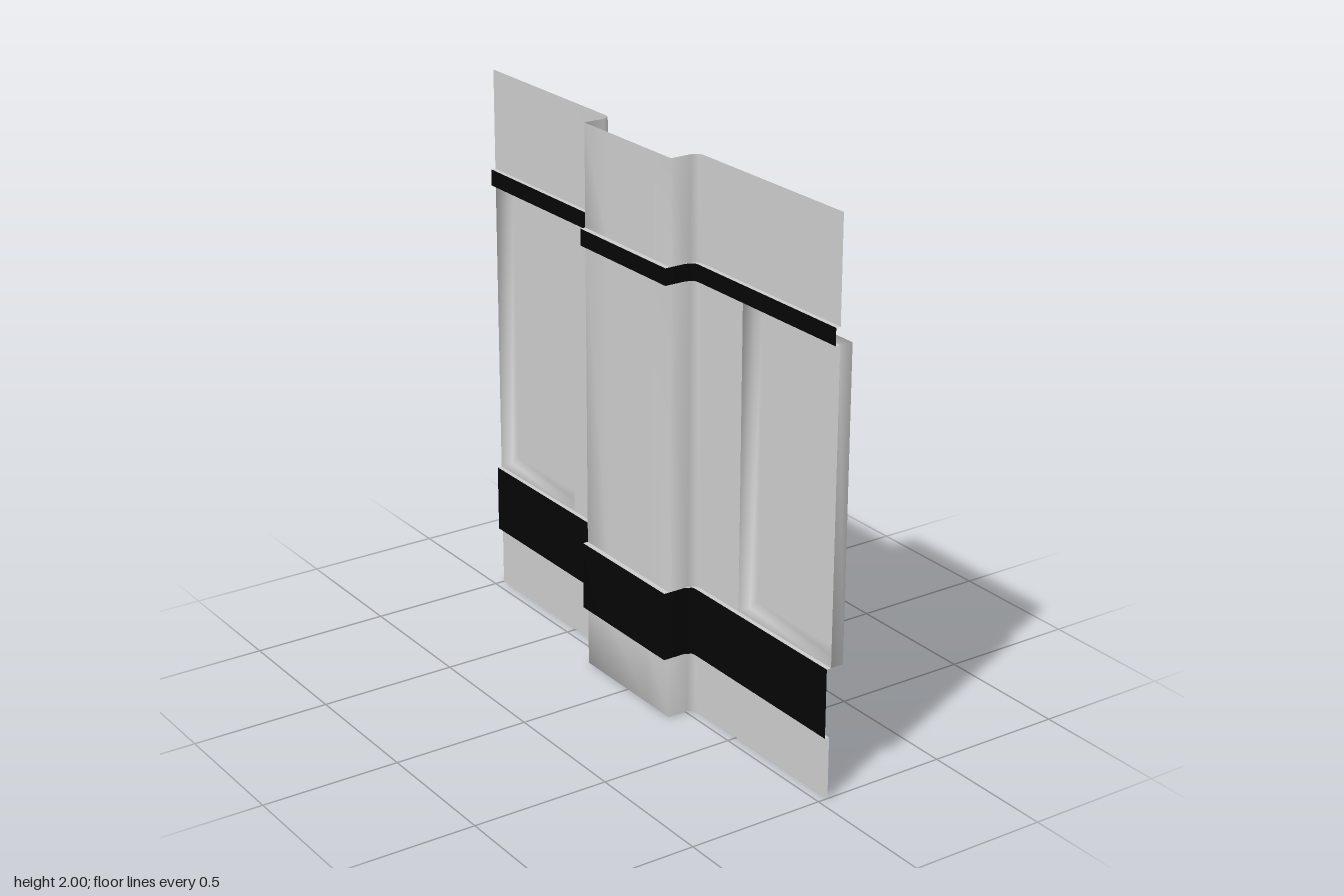
import * as THREE from 'three';
import { mergeVertices } from 'three/addons/utils/BufferGeometryUtils.js';

const grey = new THREE.MeshStandardMaterial({ color: 0xcccccc, side: THREE.DoubleSide });
const black = new THREE.MeshStandardMaterial({ color: 0x050505, side: THREE.DoubleSide });

// Smooth skin over rows of [x, y, z] points; all rows have the same length.
function loft(rows) {
  const n = rows[0].length, index = [];
  for (let i = 0; i < rows.length - 1; i++) {
    for (let j = 0; j < n - 1; j++) {
      const a = i * n + j, b = a + n;
      index.push(a, b, a + 1, b, b + 1, a + 1);
    }
  }
  let g = new THREE.BufferGeometry();
  g.setAttribute('position', new THREE.Float32BufferAttribute(rows.flat(2), 3));
  g.setIndex(index);
  g = mergeVertices(g);
  g.computeVertexNormals();
  return g;
}

// Wall section [x, z] from +z to -z, with a channel sunk in the middle.
function section(end, side, back, round) {
  const half = [
    [side, end], [side, 0.28], [side - 0.006 * round, 0.262],
    [side - 0.03, 0.25], [back, 0.25], [back, 0.12],
  ];
  return [...half, ...half.slice().reverse().map(([x, z]) => [x, -z])];
}
const at = (profile, y) => profile.map(([x, z]) => [x, y, z]);

export function createModel() {
  const model = new THREE.Group();
  const add = (name, geometry, material = grey) => {
    const mesh = new THREE.Mesh(geometry, material);
    mesh.name = name;
    model.add(mesh);
  };

  const SIDE = 0.037, BACK = -0.07;
  const wall = section(1, SIDE, BACK, 1);
  const middle = section(0.5, SIDE, BACK, 1);
  const groove = section(1, 0.02, -0.09, 0.5);

  // Wall sheets between the bands; the lowest one closes the channel with a floor
  add('upperWall', loft([at(wall, 2), at(wall, 1.635)]));
  add('middleWall', loft([at(middle, 1.575), at(middle, 0.475)]));
  const floorFront = wall.map(([, z]) => [SIDE, z]);
  add('lowerWall', loft([at(wall, 0.225), at(wall, 0), at(floorFront, 0)]));

  // Dark bands sunk behind the wall, with narrow lips joining them to it
  for (const [name, y0, y1] of [['upperBand', 1.575, 1.635], ['lowerBand', 0.225, 0.475]]) {
    add(name, loft([at(groove, y1), at(groove, y0)]), black);
    add(name + 'TopLip', loft([at(wall, y1), at(groove, y1)]));
    add(name + 'BottomLip', loft([at(groove, y0), at(wall, y0)]));
  }

  // Raised hollow panels: soft rim and flat face
  const ring = (x, z0, z1, y0, y1) =>
    [[z1, y1], [z0, y1], [z0, y0], [z1, y0], [z1, y1]].map(([z, y]) => [x, y, z]);
  for (const s of [1, -1]) {
    const name = s > 0 ? 'frontPanel' : 'rearPanel';
    const c = s * 0.75;
    const outer = (x) => ring(x, c - 0.25, c + 0.25, 0.475, 1.575);
    const inner = ring(0.085, c - 0.208, c + 0.208, 0.515, 1.537);
    add(name + 'Rim', loft([outer(SIDE), outer(0.085), inner]));
    add(name + 'Face', loft([[inner[0], inner[1]], [inner[3], inner[2]]]));
  }
  return model;
}
